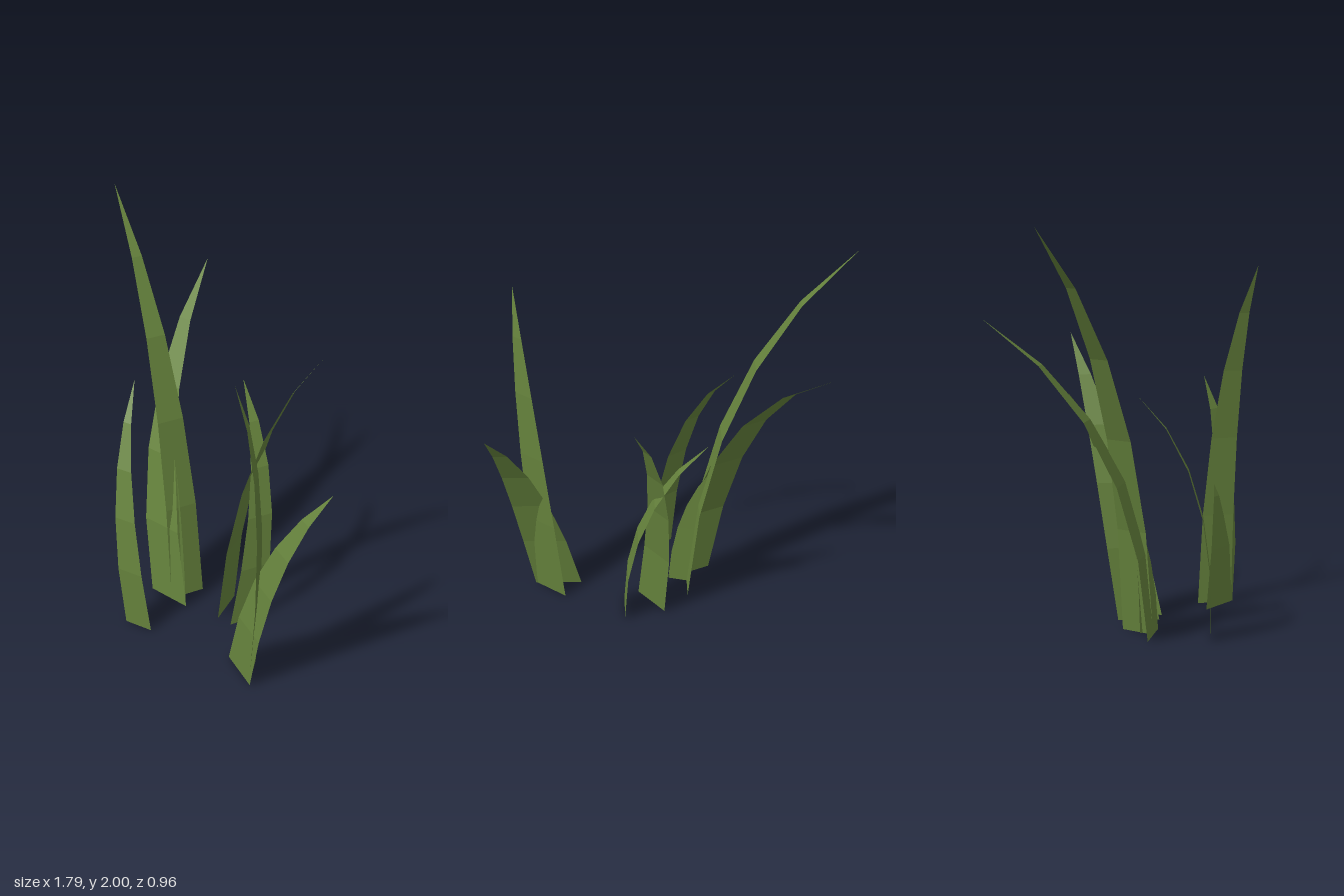
import * as THREE from 'three';

const SEGMENTS = 5;

// Ribbon that follows a quadratic curve and narrows to a point; width is the base edge vector (x, z)
function bladeGeometry(base, bend, tip, width) {
  const curve = new THREE.QuadraticBezierCurve3(
    new THREE.Vector3(...base), new THREE.Vector3(...bend), new THREE.Vector3(...tip));
  const pos = [], index = [];
  for (let i = 0; i <= SEGMENTS; i++) {
    const t = i / SEGMENTS;
    const p = curve.getPoint(t);
    const half = (1 - Math.pow(t, 1.6)) / 2;
    if (i === SEGMENTS) {
      pos.push(p.x, p.y, p.z);
    } else {
      for (const s of [-half, half]) pos.push(p.x + s * width[0], p.y, p.z + s * width[1]);
    }
  }
  for (let i = 0; i < SEGMENTS; i++) {
    const a = i * 2;
    index.push(a, a + 1, a + 2);
    if (i < SEGMENTS - 1) index.push(a + 1, a + 3, a + 2);
  }
  const g = new THREE.BufferGeometry();
  g.setAttribute('position', new THREE.Float32BufferAttribute(pos, 3));
  g.setIndex(index);
  const flat = g.toNonIndexed();
  flat.computeVertexNormals();
  return flat;
}

export function createModel() {
  const group = new THREE.Group();
  group.name = 'grassTuft';
  const green = new THREE.MeshStandardMaterial({ color: 0x65823c, side: THREE.DoubleSide, flatShading: true });
  green.name = 'grassGreen';

  // name, base centre, bend control point, tip, base edge vector
  const blades = [
    ['tallBlade', [-0.12, 0, 0.088], [-0.2, 1.35, 0.08], [-0.89, 2.0, -0.09], [0.04, -0.175]],
    ['broadRightBlade', [-0.155, 0, 0.18], [-0.34, 1.07, 0.2], [-0.64, 1.56, -0.48], [0.23, -0.04]],
    ['frontBlade', [-0.07, 0, 0.445], [-0.16, 0.84, 0.52], [-0.39, 1.21, 0.19], [0.14, -0.05]],
    ['shortBlade', [-0.09, 0, 0.135], [-0.11, 0.48, 0.13], [-0.24, 0.74, 0.06], [0.1, 0.055]],
    ['backBlade', [0.095, 0, 0.005], [0.03, 0.96, -0.135], [0.29, 1.41, -0.45], [0.09, 0.185]],
    ['middleBlade', [0.24, 0, -0.005], [0.27, 0.79, -0.17], [-0.12, 1.16, -0.28], [0.04, -0.17]],
    ['uprightLeftBlade', [0.573, 0, 0.235], [0.68, 1.2, 0.22], [0.655, 1.75, 0.43], [0.115, 0.14]],
    ['broadLeftBlade', [0.525, 0, 0.28], [0.68, 0.78, 0.3], [0.9, 1.14, 0.05], [0.23, 0.06]],
  ];
  for (const [name, base, bend, tip, width] of blades) {
    const mesh = new THREE.Mesh(bladeGeometry(base, bend, tip, width), green);
    mesh.name = name;
    group.add(mesh);
  }
  return group;
}
